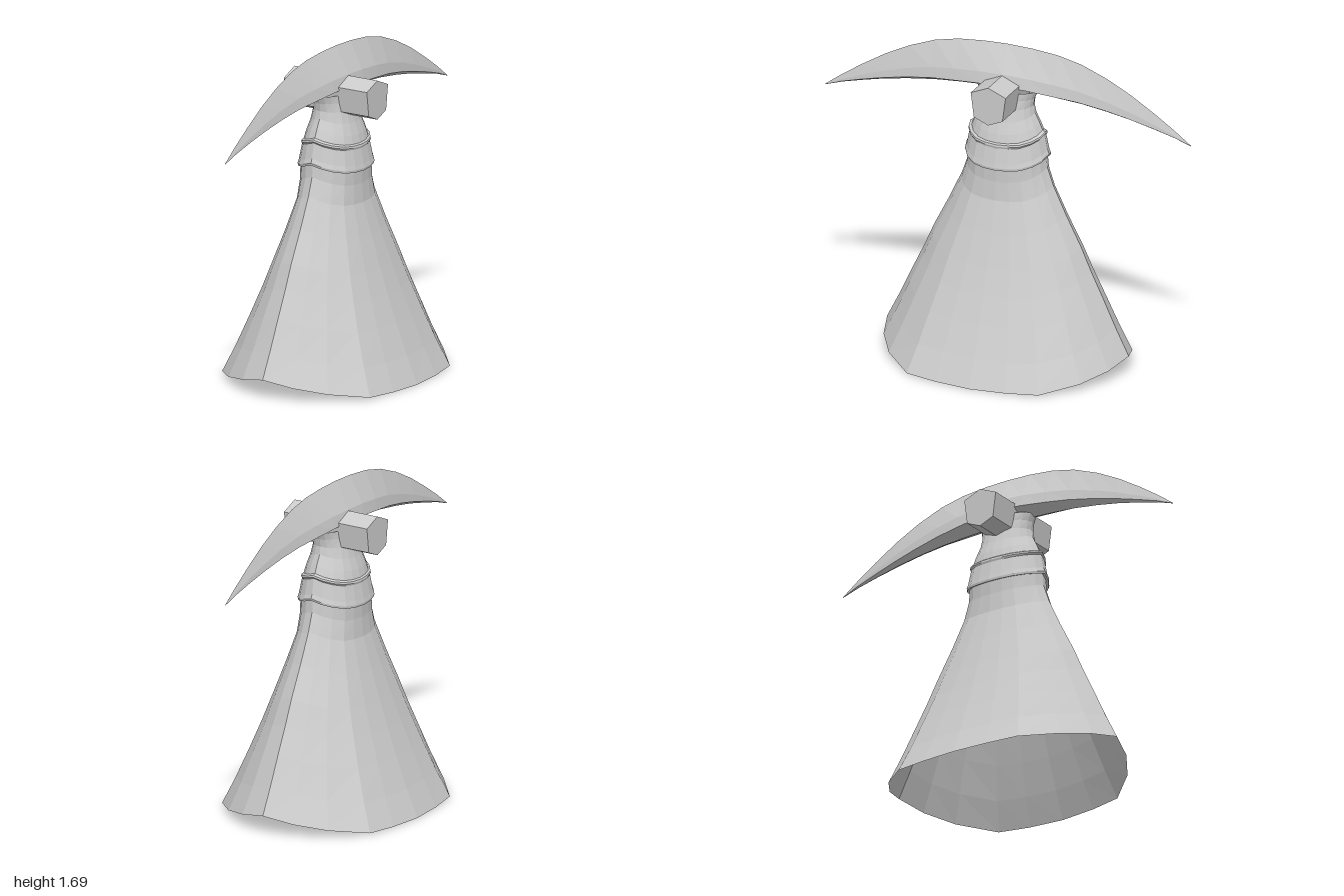
import * as THREE from 'three';

const material = new THREE.MeshStandardMaterial({ color: 0xcccccc, flatShading: true });
const shellMaterial = material.clone();
shellMaterial.side = THREE.DoubleSide;

// Skin a list of closed rings (arrays of [x, y, z]) with quads.
function loft(rings) {
  const n = rings[0].length;
  const index = [];
  for (let r = 0; r < rings.length - 1; r++) {
    for (let i = 0; i < n; i++) {
      const a = r * n + i, b = r * n + (i + 1) % n;
      index.push(a, b, b + n, a, b + n, a + n);
    }
  }
  const g = new THREE.BufferGeometry();
  g.setAttribute('position', new THREE.Float32BufferAttribute(rings.flat(2), 3));
  g.setIndex(index);
  g.computeVertexNormals();
  return g;
}

// One quadrant of the robe outline, mirrored into a full 20-point ring.
const QUADRANT = [[0, 1], [0.31, 0.93], [0.61, 0.79], [0.91, 0.545], [0.97, 0.29], [1, 0]];
function outline(round) {
  const q = QUADRANT.map(([x, z], i) => {
    const a = i * Math.PI / 10;
    return [x + (Math.sin(a) - x) * round, z + (Math.cos(a) - z) * round];
  });
  const half = [...q, ...q.slice(0, 5).reverse().map(([x, z]) => [x, -z])];
  return [...half, ...half.slice(1, 10).reverse().map(([x, z]) => [-x, z])];
}

// Levels: side height, half width x, half depth z, lift of the front and back.
function body(levels) {
  return loft(levels.map(([y, w, d, lift]) => {
    const round = Math.min(1, y / 1.2) * 0.7;
    return outline(round).map(([x, z]) => [x * w, y + lift * (1 - Math.abs(x)), z * d]);
  }));
}

function add(group, name, geometry, mat = material) {
  const mesh = new THREE.Mesh(geometry, mat);
  mesh.name = name;
  group.add(mesh);
  return mesh;
}

export function createModel() {
  const model = new THREE.Group();
  model.name = 'model';

  // Open flared skirt
  add(model, 'skirt', body([
    [0, 0.49, 0.66, 0.1], [0.14, 0.428, 0.592, 0.095], [0.3, 0.365, 0.52, 0.09],
    [0.44, 0.313, 0.455, 0.085], [0.57, 0.268, 0.4, 0.08], [0.74, 0.213, 0.318, 0.07],
    [0.9, 0.165, 0.248, 0.06], [1.0, 0.158, 0.215, 0.055], [1.07, 0.16, 0.208, 0.05],
  ]), shellMaterial);

  // Collar band with a lip at each end
  add(model, 'collar', body([
    [1.07, 0.158, 0.206, 0.05], [1.066, 0.17, 0.222, 0.05], [1.078, 0.172, 0.225, 0.05],
    [1.1, 0.167, 0.216, 0.05], [1.18, 0.152, 0.2, 0.048], [1.19, 0.156, 0.207, 0.046],
    [1.2, 0.154, 0.205, 0.045], [1.207, 0.145, 0.188, 0.045],
  ]), shellMaterial);

  // Neck running up into the blade
  add(model, 'neck', body([
    [1.2, 0.147, 0.192, 0.045], [1.25, 0.135, 0.173, 0.04], [1.31, 0.115, 0.148, 0.03],
    [1.37, 0.1, 0.14, 0.01], [1.42, 0.09, 0.147, 0], [1.46, 0.085, 0.165, 0],
  ]), shellMaterial);

  // Crescent blade: distance from centre, top edge, widest line, keel, half width
  const halfBlade = [
    [0, 1.69, 1.49, 1.45, 0.086], [0.13, 1.686, 1.485, 1.447, 0.08], [0.27, 1.673, 1.472, 1.44, 0.067],
    [0.4, 1.644, 1.458, 1.43, 0.052], [0.54, 1.59, 1.433, 1.411, 0.038], [0.67, 1.524, 1.403, 1.388, 0.027],
    [0.8, 1.444, 1.368, 1.358, 0.016], [0.91, 1.37, 1.335, 1.33, 0.008], [1, 1.303, 1.301, 1.3, 0.001],
  ];
  const stations = [...halfBlade.slice(1).reverse().map(([z, ...s]) => [-z, ...s]), ...halfBlade];
  add(model, 'blade', loft(stations.map(([z, top, wide, keel, w]) => {
    const shoulder = wide + (top - wide) * 0.3;
    return [[0, top, z], [-w * 0.86, shoulder, z], [-w, wide, z],
      [0, keel, z], [w, wide, z], [w * 0.86, shoulder, z]];
  })));

  // Six-sided crossbar through the blade
  const section = new THREE.Shape([
    [0, 1.545], [-0.095, 1.505], [-0.078, 1.375], [0, 1.342], [0.078, 1.375], [0.095, 1.505],
  ].map(([z, y]) => new THREE.Vector2(z, y)));
  const bar = new THREE.ExtrudeGeometry(section, { depth: 0.5, bevelEnabled: false });
  bar.translate(0, 0, -0.25).rotateY(Math.PI / 2);
  add(model, 'crossbar', bar);

  return model;
}
